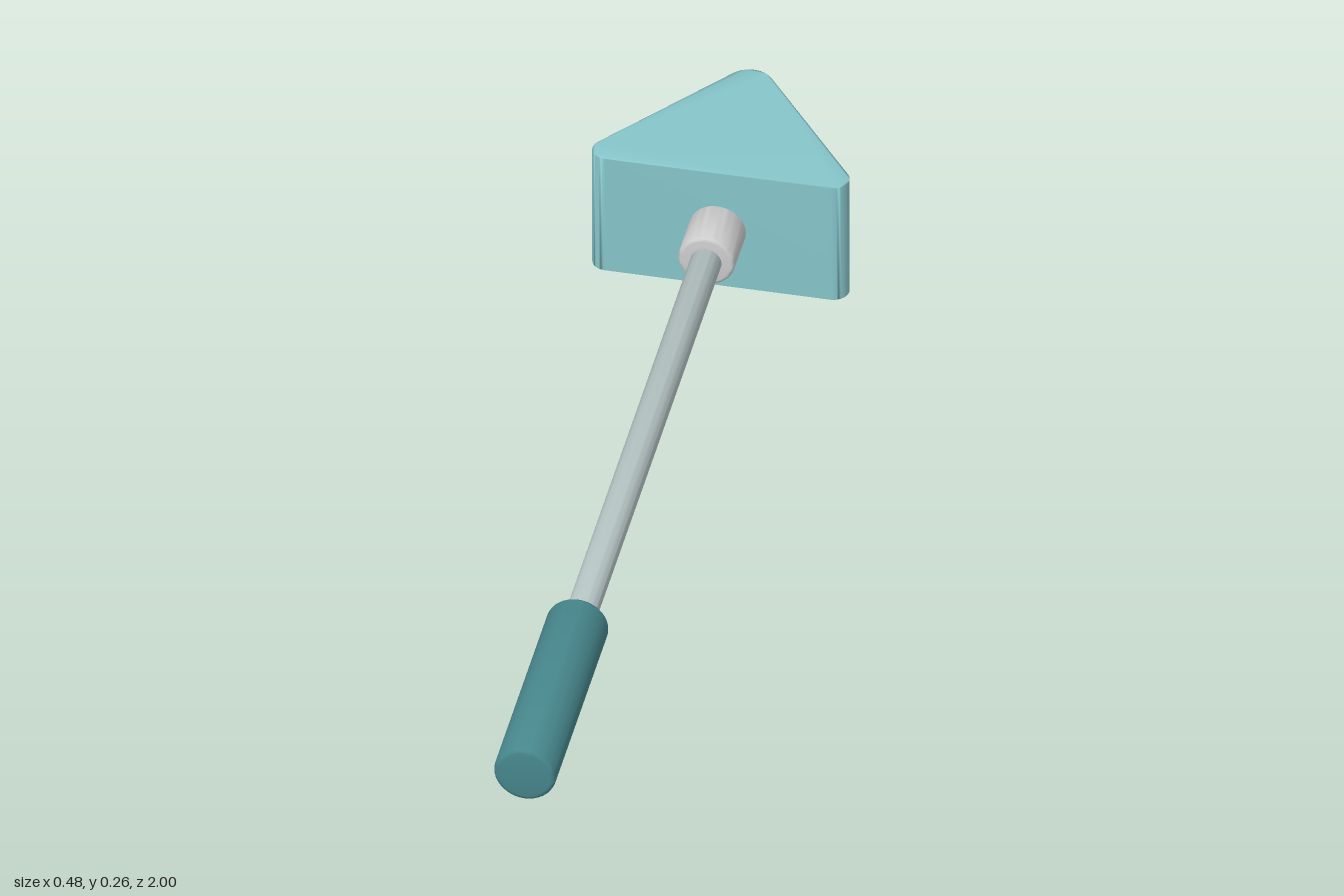
import * as THREE from 'three';
import { mergeVertices, toCreasedNormals } from 'three/addons/utils/BufferGeometryUtils.js';

const AXIS_Y = 0.128; // height of the shaft's axis
const HEAD_HEIGHT = 0.256;

const material = (color) => new THREE.MeshStandardMaterial({ color });

// Round bar along z with softly rounded rims
function bar(name, radius, zMin, zMax, rim, color) {
  const points = [new THREE.Vector2(0, zMin)];
  const steps = 4;
  for (const end of [0, 1]) {
    for (let i = 0; i <= steps; i++) {
      const a = -Math.PI / 2 + (end + i / steps) * Math.PI / 2;
      const centre = end ? zMax - rim : zMin + rim;
      points.push(new THREE.Vector2(radius - rim + rim * Math.cos(a), centre + rim * Math.sin(a)));
    }
  }
  points.push(new THREE.Vector2(0, zMax));
  const geometry = new THREE.LatheGeometry(points, 40).rotateX(Math.PI / 2);
  const mesh = new THREE.Mesh(toCreasedNormals(geometry, 0.7), material(color));
  mesh.name = name;
  mesh.position.y = AXIS_Y;
  return mesh;
}

// Wedge-shaped head: rounded triangle, smooth-shaded across its edges
function wedgeHead() {
  const slope = 0.663; // direction of the slanted sides' normals
  const shape = new THREE.Shape();
  shape.absarc(0.21, 0.71, 0.03, -Math.PI / 2, slope, false);
  shape.absarc(0, 0.955, 0.045, slope, Math.PI - slope, false);
  shape.absarc(-0.21, 0.71, 0.03, Math.PI - slope, Math.PI * 1.5, false);
  shape.closePath();
  let geometry = new THREE.ExtrudeGeometry(shape, {
    depth: HEAD_HEIGHT, bevelEnabled: false, curveSegments: 8,
  }).rotateX(-Math.PI / 2);
  geometry.deleteAttribute('uv');
  geometry.deleteAttribute('normal');
  geometry = mergeVertices(geometry, 1e-4);
  geometry.computeVertexNormals();
  const mesh = new THREE.Mesh(geometry, material(0x86c5ca));
  mesh.name = 'wedgeHead';
  return mesh;
}

export function createModel() {
  const group = new THREE.Group();
  group.name = 'wedgeTool';
  group.add(
    wedgeHead(),
    bar('collar', 0.053, -0.70, -0.58, 0.008, 0xcccccc),
    bar('shaft', 0.029, -0.69, 0.56, 0.002, 0xb4c2c2),
    bar('grip', 0.058, 0.53, 1.0, 0.01, 0x46868c),
  );
  return group;
}
